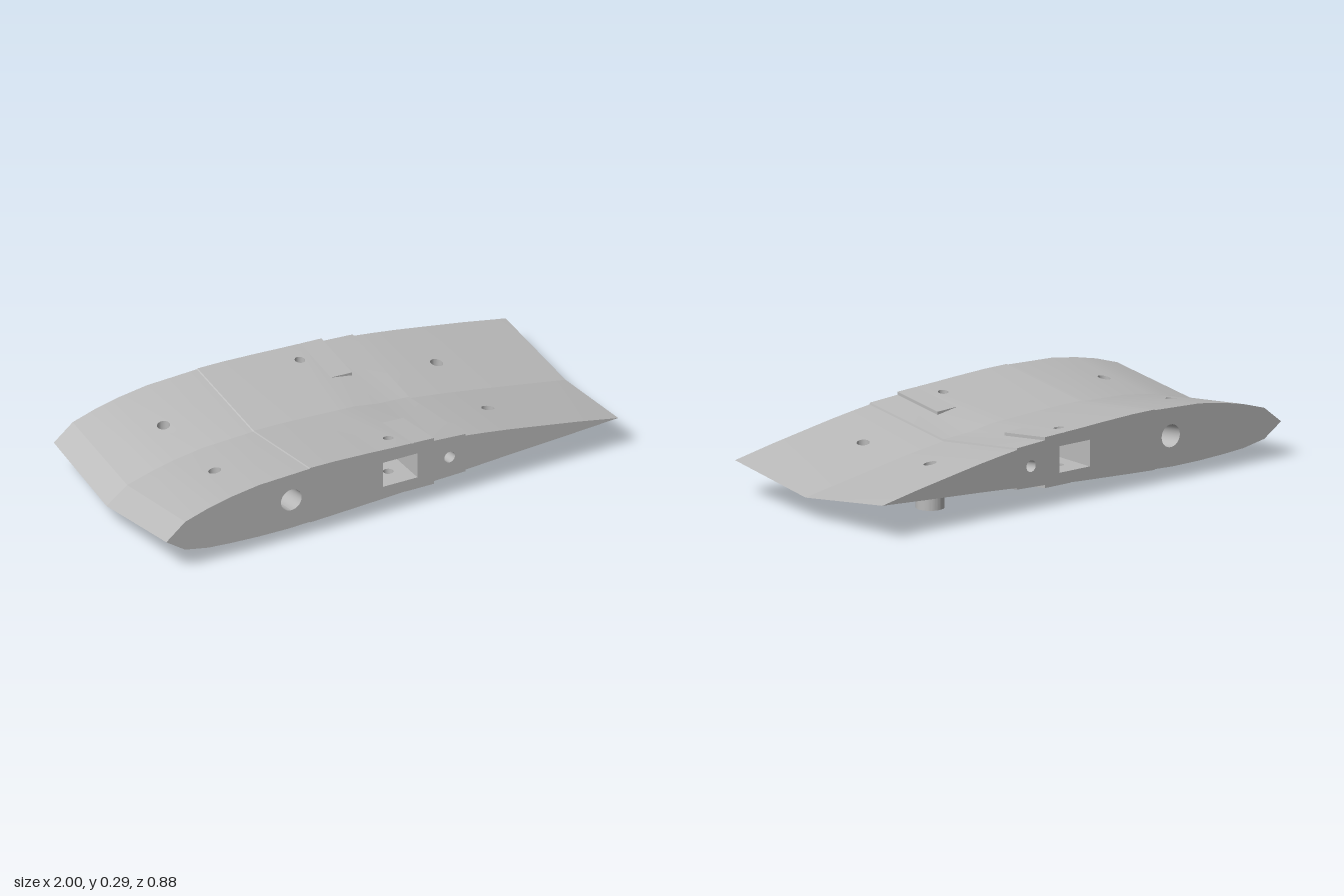
import * as THREE from 'three';
import { mergeGeometries, toCreasedNormals } from 'three/addons/utils/BufferGeometryUtils.js';

const HALF = 0.44;        // half span
const SLOPE = 0.125;      // dihedral rise per unit of span

// Section outline at the centre line, nose to tail (small steps mark the middle panel)
const TOP = [[-1, 0.088], [-0.91, 0.155], [-0.8, 0.187], [-0.7, 0.209], [-0.58, 0.227], [-0.362, 0.237],
  [-0.358, 0.24], [-0.25, 0.2395], [-0.1, 0.234], [0, 0.229], [0.08, 0.226], [0.18, 0.21], [0.318, 0.202],
  [0.32, 0.195], [0.4, 0.185], [0.5, 0.171], [0.6, 0.155], [0.8, 0.122], [1, 0.088]];
const BOTTOM = [[-1, 0.088], [-0.91, 0.033], [-0.8, 0.014], [-0.7, 0.007], [-0.58, 0.002], [-0.45, 0.001],
  [-0.362, 0.005], [-0.358, 0.002], [-0.25, 0.007], [0, 0.02], [0.08, 0.025], [0.18, 0.034], [0.318, 0.039],
  [0.32, 0.046], [0.5, 0.058], [0.6, 0.064], [0.8, 0.076], [1, 0.088]];

// Vertical screw holes: x, z, radius
const SCREWS = [[-0.64, 0.2, 0.025], [0.55, 0.2, 0.025], [0.035, 0.345, 0.02]];
// Spanwise rod tunnels: x, y at the centre line, radius
const RODS = [[-0.44, 0.123, 0.045], [0.25, 0.12, 0.023]];
const POCKET = { x0: -0.04, x1: 0.11, y0: 0.125, y1: 0.23, z0: 0.2 };

function heightAt(line, x, z) {
  let i = 0;
  while (i < line.length - 2 && line[i + 1][0] < x) i++;
  const [x0, y0] = line[i], [x1, y1] = line[i + 1];
  return y0 + (y1 - y0) * (x - x0) / (x1 - x0) + SLOPE * Math.abs(z);
}

// The nose and tail draw in slightly toward the tips
const taper = (x, z) => x * (1 - 0.035 * Math.abs(z) * Math.max(0, Math.abs(x) - 0.8) / 0.2);

function polygon(points) {
  return new THREE.Shape(points.map(([x, y]) => new THREE.Vector2(x, y)));
}

function circle(x, y, r) {
  return new THREE.Path().absarc(x, y, r, 0, Math.PI * 2, false);
}

function mapVertices(geometry, rule) {
  const p = geometry.attributes.position;
  for (let i = 0; i < p.count; i++) p.setXYZ(i, ...rule(p.getX(i), p.getY(i), p.getZ(i)));
  geometry.computeVertexNormals();
  return geometry;
}

// Skin made of one drilled strip per outline segment; side is 1 for top, -1 for bottom
function skin(line, side) {
  const strips = [];
  for (let i = 0; i < line.length - 1; i++) {
    const [x0, y0] = line[i], [x1, y1] = line[i + 1];
    const s = -side * HALF;
    const shape = polygon([[x0, 0], [x1, 0], [x1, s], [x0, s]]);
    for (const [x, z, r] of SCREWS) {
      if (x > x0 && x < x1) shape.holes.push(circle(x, -side * z, r));
    }
    strips.push(mapVertices(new THREE.ShapeGeometry(shape, 12), (x, v) => {
      const z = Math.abs(v);
      return [taper(x, z), y0 + (y1 - y0) * (x - x0) / (x1 - x0) + SLOPE * z, z];
    }));
  }
  return toCreasedNormals(mergeGeometries(strips), 0.2);
}

// Flat tip rib with the rod and pocket openings
function tipRib() {
  const rise = SLOPE * HALF;
  const outline = [...BOTTOM, ...TOP.slice(1, -1).reverse()];
  const shape = polygon(outline.map(([x, y]) => [taper(x, HALF), y + rise]));
  for (const [x, y, r] of RODS) shape.holes.push(circle(x, y + rise, r));
  const { x0, x1, y0, y1 } = POCKET;
  shape.holes.push(polygon([[x0, y0], [x1, y0], [x1, y1], [x0, y1]]));
  return new THREE.ShapeGeometry(shape, 16).translate(0, 0, HALF);
}

// Vertical bore whose ends follow the given height rules
function bore([x, z, r], upper, lower) {
  const g = new THREE.CylinderGeometry(r, r, 1, 24, 1, true).translate(x, 0, z);
  return mapVertices(g, (px, py, pz) => [px, py > 0 ? upper(px, pz) : lower(px, pz), pz]);
}

// Rod tunnel sheared along the dihedral
function rodTunnel([x, y, r]) {
  const g = new THREE.CylinderGeometry(r, r, HALF, 32, 1, true).rotateX(Math.PI / 2).translate(x, y, HALF / 2);
  return mapVertices(g, (px, py, pz) => [px, py + SLOPE * pz, pz]);
}

// Rectangular joiner pocket: drilled floor and ceiling, two sides and an end wall
function pocketWalls() {
  const { x0, x1, y0, y1, z0 } = POCKET;
  const w = x1 - x0, h = y1 - y0, d = HALF - z0;
  const cx = (x0 + x1) / 2, cy = (y0 + y1) / 2, cz = (HALF + z0) / 2;
  const [sx, sz, sr] = SCREWS[2];
  const walls = [
    new THREE.PlaneGeometry(w, h).translate(cx, cy, z0),
    new THREE.PlaneGeometry(d, h).rotateY(Math.PI / 2).translate(x0, cy, cz),
    new THREE.PlaneGeometry(d, h).rotateY(-Math.PI / 2).translate(x1, cy, cz)
  ];
  for (const [y, s] of [[y0, -1], [y1, 1]]) {
    const shape = polygon([[x0, s * z0], [x1, s * z0], [x1, s * HALF], [x0, s * HALF]]);
    shape.holes.push(circle(sx, s * sz, sr));
    walls.push(new THREE.ShapeGeometry(shape, 12).rotateX(s * Math.PI / 2).translate(0, y, 0));
  }
  return mergeGeometries(walls);
}

// Raised pad over the pocket, sheared along the dihedral
function pad(points) {
  const g = new THREE.ExtrudeGeometry(polygon(points), { depth: HALF - 0.2, bevelEnabled: false });
  return mapVertices(g.translate(0, 0, 0.2), (x, y, z) => [x, y + SLOPE * z, z]);
}

// Drilled round boss under the wing
function boss(x, z, r, top) {
  const shape = new THREE.Shape().absarc(0, 0, 0.055, 0, Math.PI * 2, false);
  shape.holes.push(circle(0, 0, r));
  const g = new THREE.ExtrudeGeometry(shape, { depth: top - 0.015, bevelEnabled: false, curveSegments: 32 });
  return toCreasedNormals(g.rotateX(-Math.PI / 2).translate(x, 0.015, z), 0.5);
}

export function createModel() {
  const grey = new THREE.MeshStandardMaterial({ color: 0xbababa, side: THREE.DoubleSide });
  grey.name = 'grey';
  const model = new THREE.Group();
  model.name = 'wingCentreSection';
  const half = new THREE.Group();
  half.name = 'leftHalf';
  const add = (name, geometry) => {
    const mesh = new THREE.Mesh(geometry, grey);
    mesh.name = name;
    half.add(mesh);
  };

  add('topSkin', skin(TOP, 1));
  add('bottomSkin', skin(BOTTOM, -1));
  add('tipRib', tipRib());
  add('joinerPocket', pocketWalls());
  RODS.forEach(rod => add('rodTunnel', rodTunnel(rod)));

  // Screw bores; the outer one is interrupted by the pocket
  const top = (x, z) => heightAt(TOP, x, z);
  const bottom = (x, z) => heightAt(BOTTOM, x, z);
  add('frontScrewBore', bore(SCREWS[0], top, bottom));
  add('rearScrewBore', bore(SCREWS[1], top, bottom));
  add('upperPocketBore', bore(SCREWS[2], top, () => POCKET.y1));
  add('lowerPocketBore', bore(SCREWS[2], () => POCKET.y0, bottom));

  add('frontBoss', boss(-0.64, 0.2, 0.025, 0.045));
  add('rearBoss', boss(0.55, 0.2, 0.025, 0.1));
  add('topPad', pad([[0.115, 0.208], [0.182, 0.208], [0.182, 0.222], [0.09, 0.2255]]));
  add('bottomPad', pad([[0.05, 0.0222], [0.182, 0.022], [0.182, 0.036], [0.1, 0.036]]));

  const other = half.clone();
  other.name = 'rightHalf';
  other.scale.z = -1;
  model.add(half, other);
  return model;
}
